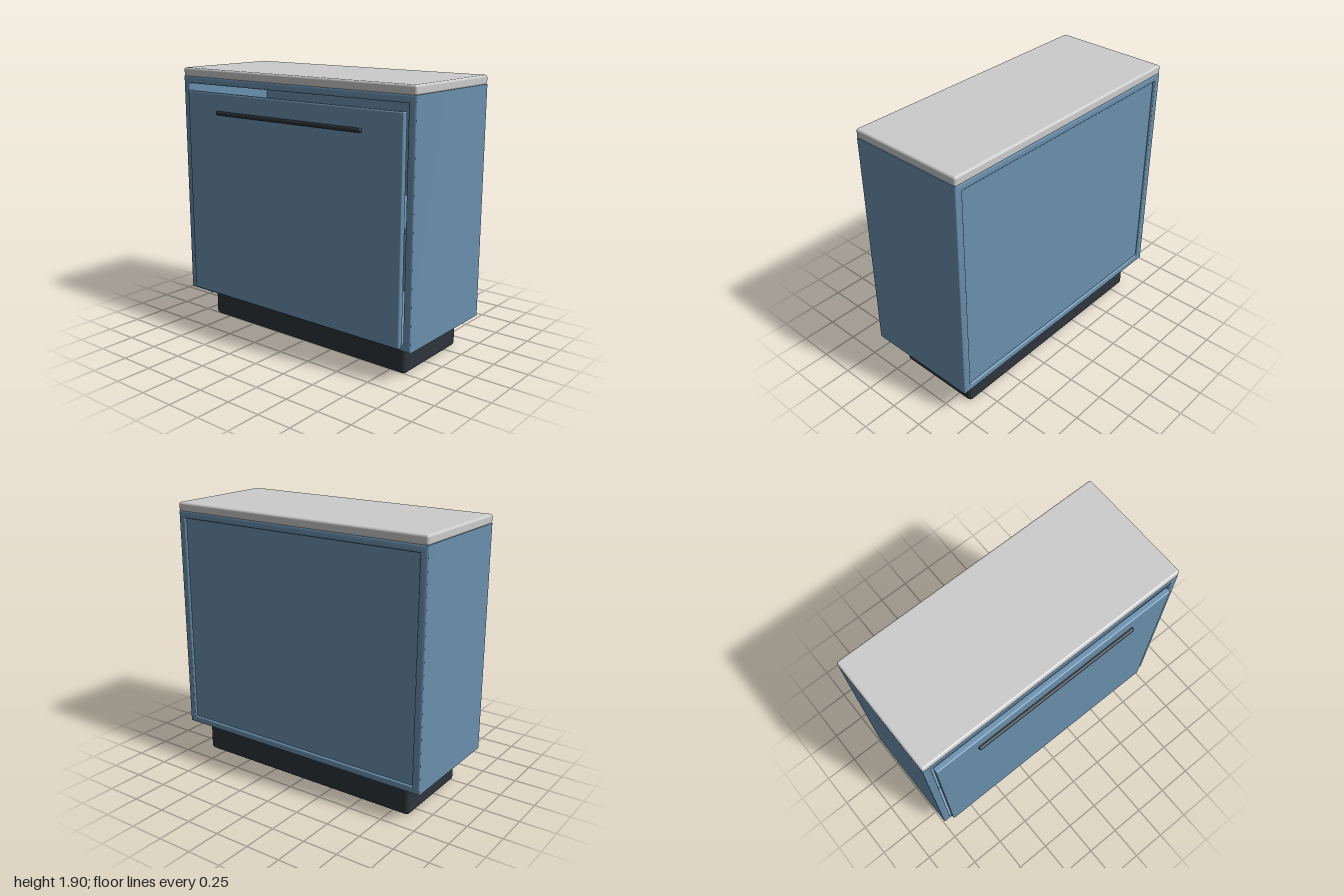
import * as THREE from 'three';
import { RoundedBoxGeometry } from 'three/addons/geometries/RoundedBoxGeometry.js';
import { toCreasedNormals } from 'three/addons/utils/BufferGeometryUtils.js';

const blue = new THREE.MeshStandardMaterial({ color: 0x6a90ad });
const dark = new THREE.MeshStandardMaterial({ color: 0x2d343a });
const grey = new THREE.MeshStandardMaterial({ color: 0xcccccc });

// Rounded box given by its [min, max] range on each axis
function block(name, [x0, x1], [y0, y1], [z0, z1], radius, material) {
  const geometry = new RoundedBoxGeometry(x1 - x0, y1 - y0, z1 - z0, 4, radius);
  const mesh = new THREE.Mesh(geometry, material);
  mesh.position.set((x0 + x1) / 2, (y0 + y1) / 2, (z0 + z1) / 2);
  mesh.name = name;
  return mesh;
}

// Adds a rectangle to a shape or hole path
function rectangle(path, x, y0, y1) {
  path.moveTo(-x, y0);
  path.lineTo(x, y0);
  path.lineTo(x, y1);
  path.lineTo(-x, y1);
  path.closePath();
  return path;
}

// Open box of sides, top and bottom with softened front and back rims
function cabinetFrame() {
  const bevel = 0.01;
  const shape = rectangle(new THREE.Shape(), 1, 0.23, 1.84);
  shape.holes.push(rectangle(new THREE.Path(), 0.945, 0.28, 1.79));
  const geometry = new THREE.ExtrudeGeometry(shape, {
    depth: 0.85 - 2 * bevel,
    bevelThickness: bevel,
    bevelSize: bevel,
    bevelOffset: -bevel,
    bevelSegments: 3,
  });
  geometry.translate(0, 0, -0.45 + bevel);
  const mesh = new THREE.Mesh(toCreasedNormals(geometry, 0.7), blue);
  mesh.name = 'cabinetFrame';
  return mesh;
}

export function createModel() {
  const group = new THREE.Group();
  group.name = 'cabinet';
  group.add(
    block('plinth', [-0.88, 0.88], [0, 0.23], [-0.37, 0.27], 0.03, dark),
    cabinetFrame(),
    block('backPanel', [-0.95, 0.95], [0.275, 1.795], [-0.435, -0.415], 0.002, blue),
    block('shelf', [-0.95, 0.95], [0.98, 1.01], [-0.42, 0.34], 0.005, blue),
    block('worktop', [-1, 1], [1.835, 1.9], [-0.45, 0.4], 0.016, grey),
    block('door', [-0.932, 0.932], [0.247, 1.74], [0.385, 0.427], 0.01, blue),
    block('handle', [-0.63, 0.63], [1.589, 1.617], [0.422, 0.449], 0.01, dark),
  );
  return group;
}
